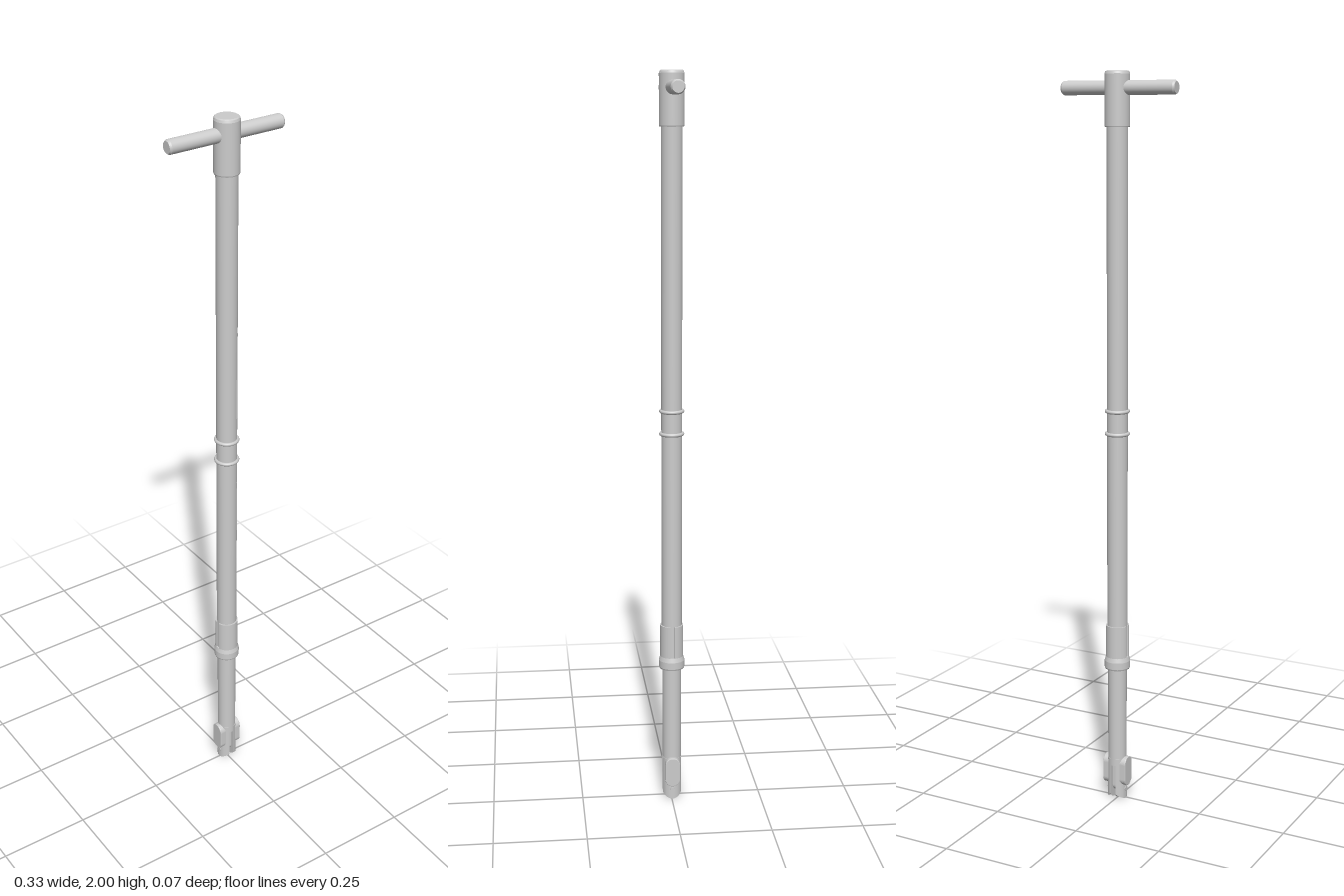
import * as THREE from 'three';

const material = new THREE.MeshStandardMaterial({ color: 0xcccccc, side: THREE.DoubleSide });
const AXIS_X = 0.005, AXIS_Z = -0.002;

export function createModel() {
  const model = new THREE.Group();
  const shaft = new THREE.Group();
  shaft.name = 'shaft';
  shaft.position.set(AXIS_X, 0, AXIS_Z);
  model.add(shaft);

  const add = (name, geometry, parent = shaft) => {
    const mesh = new THREE.Mesh(geometry, material);
    mesh.name = name;
    parent.add(mesh);
    return mesh;
  };
  // Turned part; every point is doubled so that its edges stay crisp
  const turned = (name, points, parent) => add(name, new THREE.LatheGeometry(
    points.flatMap(([r, y], i) => {
      const p = new THREE.Vector2(r, y);
      return i === 0 || i === points.length - 1 ? [p] : [p, p.clone()];
    }), 48), parent);

  // Long tubes and the head that holds the handle
  turned('upperTube', [[0, 0.4], [0.028, 0.4], [0.028, 1.87], [0, 1.87]]);
  turned('lowerTube', [[0, 0.1], [0.026, 0.1], [0.026, 0.41], [0, 0.41]]);
  turned('head', [[0, 1.858], [0.032, 1.858], [0.033, 1.861], [0.033, 1.992],
    [0.031, 1.998], [0.028, 2], [0, 2]]);

  // Cross handle with chamfered ends
  const bar = turned('crossHandle', [[0, -0.165], [0.015, -0.165], [0.0185, -0.16],
    [0.0185, 0.16], [0.015, 0.165], [0, 0.165]], model);
  bar.rotation.z = Math.PI / 2;
  bar.position.set(0, 1.957, AXIS_Z);

  // Retaining rings around the middle
  for (const y of [1.05, 1.112]) {
    const ring = add('middleRing', new THREE.TorusGeometry(0.029, 0.005, 10, 48));
    ring.rotation.x = Math.PI / 2;
    ring.position.y = y;
  }

  // Collar flange and the two sleeve halves, slit at the sides
  turned('collarFlange', [[0.026, 0.385], [0.034, 0.385], [0.0355, 0.389],
    [0.0355, 0.408], [0.032, 0.42], [0.026, 0.42]]);
  const arcBand = (r0, r1, height, start, sweep) => {
    const shape = new THREE.Shape();
    shape.absarc(0, 0, r1, start, start + sweep, false);
    shape.absarc(0, 0, r0, start + sweep, start, true);
    return new THREE.ExtrudeGeometry(shape, { depth: height, bevelEnabled: false, curveSegments: 24 })
      .rotateX(-Math.PI / 2);
  };
  for (const side of [0, Math.PI]) {
    const half = add('collarSleeve', arcBand(0.027, 0.032, 0.1, side + 0.2, Math.PI - 0.4));
    half.position.y = 0.41;
  }

  // Narrow strips along the front of the upper tube
  for (const y of [0.73, 1.18]) {
    const strip = add('frontStrip', arcBand(0.027, 0.0285, 0.25, -0.98, 0.2));
    strip.position.y = y;
  }

  // Forked tip: two D-shaped cheeks whose lower ends are rounded
  const R = 0.027, GAP = 0.007, N = 24;
  for (const s of [-1, 1]) {
    const halfAngle = Math.acos(GAP / R);
    const arc = [], chord = [];
    for (let i = 0; i <= N; i++) {
      const a = -halfAngle + 2 * halfAngle * i / N;
      arc.push(new THREE.Vector2(R * Math.cos(a), R * Math.sin(a)));
      if (i > 0 && i < N) chord.unshift(new THREE.Vector2(GAP, R * Math.sin(a)));
    }
    const cheek = new THREE.ExtrudeGeometry(new THREE.Shape([...arc, ...chord]),
      { depth: 0.12, bevelEnabled: false }).rotateX(-Math.PI / 2);
    const p = cheek.attributes.position;
    for (let i = 0; i < p.count; i++) {
      if (p.getY(i) < 0.001) p.setY(i, R + 0.003 - Math.sqrt(Math.max(0, (R + 0.003) ** 2 - p.getZ(i) ** 2)));
    }
    cheek.computeVertexNormals();
    const mesh = add('forkCheek', cheek);
    mesh.rotation.y = s > 0 ? 0 : Math.PI;
  }

  // Rounded plate standing across x, used for the pads and the tongue
  const plate = (name, r, y0, y1, thickness, x) => {
    const shape = new THREE.Shape();
    shape.absarc(0, y1 - r, r, 0, Math.PI, false);
    shape.absarc(0, y0 + r, r, Math.PI, Math.PI * 2, false);
    const bevel = 0.002;
    const g = new THREE.ExtrudeGeometry(shape, { depth: thickness - 2 * bevel, bevelThickness: bevel,
      bevelSize: bevel, bevelOffset: -bevel, bevelSegments: 2, curveSegments: 16 });
    g.translate(0, 0, bevel - thickness / 2).rotateY(Math.PI / 2);
    add(name, g).position.x = x;
  };
  for (const s of [-1, 1]) plate('sidePad', 0.021, 0.04, 0.125, 0.02, s * 0.025);
  plate('tongue', 0.018, 0.022, 0.12, 0.0135, 0);

  // Hinge pin through the fork
  const pin = add('hingePin', new THREE.CylinderGeometry(0.007, 0.007, 0.056, 20));
  pin.rotation.z = Math.PI / 2;
  pin.position.y = 0.028;

  return model;
}
